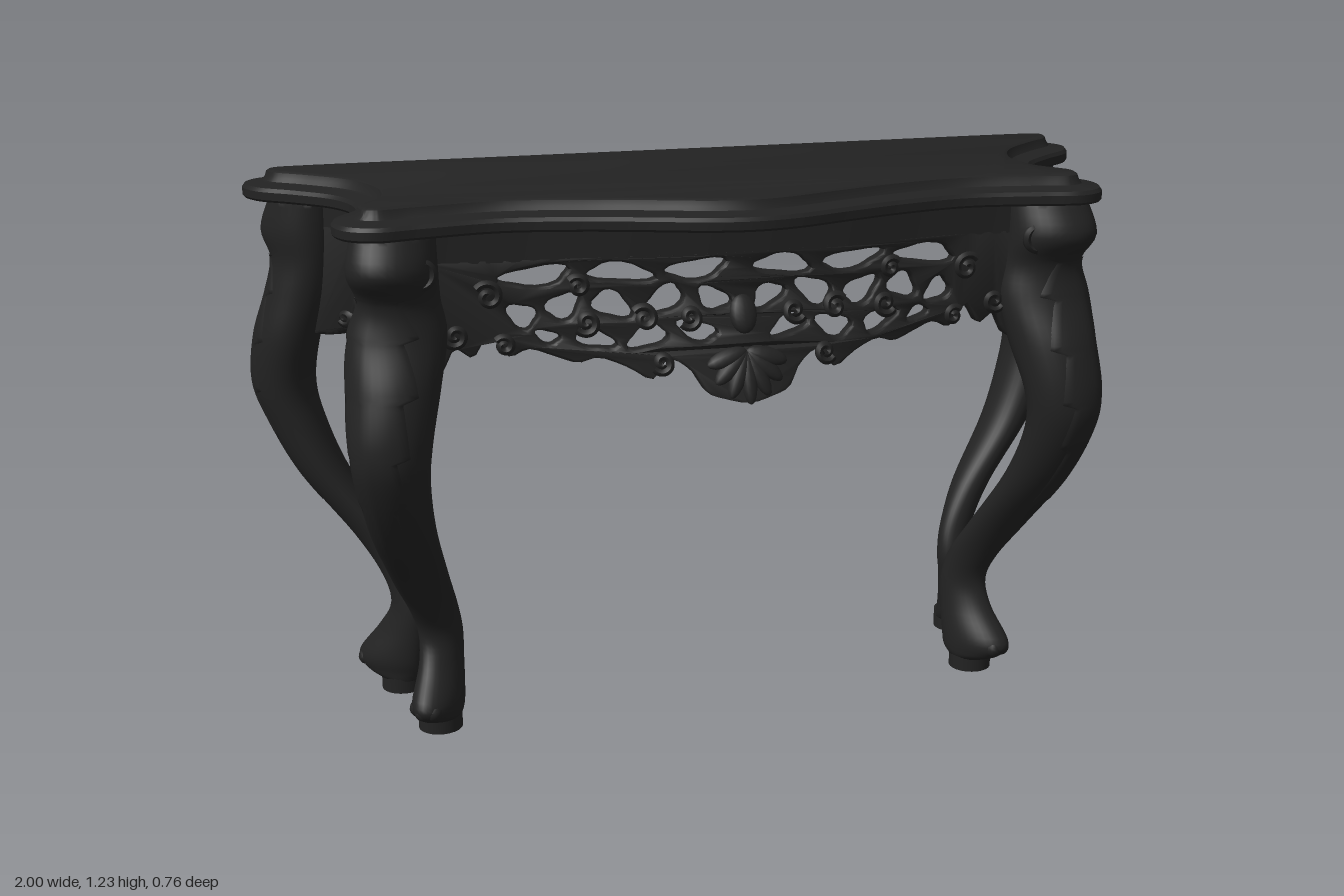
import * as THREE from 'three';
import { toCreasedNormals } from 'three/addons/utils/BufferGeometryUtils.js';

const V2 = (x, y) => new THREE.Vector2(x, y);
const V3 = (x, y, z) => new THREE.Vector3(x, y, z);
const range = (n, f) => Array.from({ length: n }, (_, i) => f(i));

// Skin over rows of points; closed rows are capped at both ends.
function loft(rows, closed = true) {
  const n = rows[0].length, pos = [], idx = [];
  rows.forEach(r => r.forEach(p => pos.push(p.x, p.y, p.z)));
  for (let i = 0; i < rows.length - 1; i++)
    for (let j = 0; j < (closed ? n : n - 1); j++) {
      const a = i * n + j, b = i * n + (j + 1) % n, c = a + n, d = b + n;
      idx.push(a, c, b, b, c, d);
    }
  if (closed) {
    const last = (rows.length - 1) * n;
    const cap = r => THREE.ShapeUtils.triangulateShape(r.map(p => V2(p.x, p.z)), []);
    cap(rows[0]).forEach(([a, b, c]) => idx.push(a, b, c));
    cap(rows[rows.length - 1]).forEach(([a, b, c]) => idx.push(last + a, last + c, last + b));
  }
  const g = new THREE.BufferGeometry();
  g.setAttribute('position', new THREE.Float32BufferAttribute(pos, 3));
  g.setIndex(idx);
  g.computeVertexNormals();
  return g;
}

// Copy of a geometry reflected to the other side.
function mirror(geo) {
  const g = geo.clone().scale(-1, 1, 1);
  const src = g.index ? [...g.index.array] : [...Array(g.attributes.position.count).keys()];
  const idx = [];
  for (let i = 0; i < src.length; i += 3) idx.push(src[i], src[i + 2], src[i + 1]);
  g.setIndex(idx);
  return g;
}

// Leg sections: y, inner x, outer x, inner z, outer z, skew of the oval in degrees
const FRONT_LEG = [
  [0.03, 0.597, 0.695, 0.00, 0.10, 85], [0.05, 0.588, 0.705, -0.008, 0.135, 65],
  [0.085, 0.585, 0.715, -0.012, 0.147, 60], [0.155, 0.582, 0.69, -0.02, 0.088, 65],
  [0.22, 0.582, 0.685, -0.022, 0.062, 75], [0.29, 0.595, 0.705, -0.007, 0.088, 75],
  [0.385, 0.62, 0.745, 0.052, 0.152, 78], [0.53, 0.655, 0.795, 0.142, 0.264, 84],
  [0.66, 0.67, 0.825, 0.197, 0.33, 88], [0.75, 0.662, 0.835, 0.192, 0.343, 90],
  [0.86, 0.635, 0.83, 0.135, 0.32, 90], [0.96, 0.615, 0.82, 0.13, 0.277, 88],
  [1.035, 0.625, 0.80, 0.13, 0.267, 84], [1.10, 0.63, 0.82, 0.13, 0.306, 82],
  [1.175, 0.63, 0.805, 0.13, 0.27, 82]];
const BACK_LEG = [
  [0.03, 0.652, 0.75, -0.14, -0.24, 85], [0.05, 0.65, 0.785, -0.135, -0.262, 65],
  [0.085, 0.65, 0.795, -0.127, -0.268, 60], [0.155, 0.645, 0.75, -0.122, -0.232, 65],
  [0.22, 0.638, 0.722, -0.122, -0.205, 75], [0.29, 0.65, 0.738, -0.137, -0.216, 75],
  [0.385, 0.695, 0.795, -0.158, -0.265, 78], [0.53, 0.79, 0.905, -0.185, -0.33, 84],
  [0.66, 0.84, 0.97, -0.20, -0.366, 86], [0.75, 0.855, 0.997, -0.20, -0.378, 88],
  [0.86, 0.84, 0.987, -0.18, -0.36, 86], [0.96, 0.81, 0.957, -0.172, -0.33, 84],
  [1.035, 0.80, 0.94, -0.168, -0.325, 80], [1.10, 0.79, 0.957, -0.165, -0.35, 76],
  [1.175, 0.79, 0.935, -0.165, -0.326, 78]];

// Returns at(s, t, k): point on the leg at height s, angle t, swollen by k.
function legSurface(st) {
  const A = new THREE.CatmullRomCurve3(st.map(r => V3(r[0], r[1], r[2])), false, 'catmullrom', 0.5);
  const B = new THREE.CatmullRomCurve3(st.map(r => V3(r[3], r[4], r[5])), false, 'catmullrom', 0.5);
  return (s, t, k = 1) => {
    const a = A.getPoint(s), b = B.getPoint(s);
    const skew = THREE.MathUtils.degToRad(b.y > b.x ? b.z : 180 - b.z);
    const hx = (a.z - a.y) / 2 * k, hz = Math.abs(b.y - b.x) / 2 * k;
    return V3((a.y + a.z) / 2 + hx * Math.cos(t), a.x, (b.x + b.y) / 2 + hz * Math.cos(t - skew));
  };
}

function legGeometry(at) {
  return loft(range(71, i => range(32, j => at(i / 70, j / 32 * Math.PI * 2))));
}

// Raised acanthus leaf with a jagged outline on the outer face of the leg
function leafGeometry(at, centre) {
  return loft(range(61, i => {
    const f = i / 60, s = 0.47 + 0.4 * f, saw = 1 - (f * 5) % 1;
    const w = (0.35 + 0.85 * Math.sin(Math.PI * Math.min(1, 0.12 + f * 0.65))) * (0.7 + 0.35 * saw);
    return range(15, j => {
      const u = j / 7 - 1, rib = 0.02 * Math.max(0, 1 - Math.abs(u) * 5);
      return at(s, centre + u * w, Math.abs(u) > 0.95 ? 0.96 : 1.035 + rib);
    });
  }), false);
}

// Half outline of the top, from back centre round to front centre (x, z)
const TOP = [[0, -0.38], [0.45, -0.38], [0.87, -0.38], [0.93, -0.373], [0.972, -0.345], [0.99, -0.30],
  [0.965, -0.232], [0.888, -0.168], [0.81, -0.09], [0.776, 0], [0.782, 0.08], [0.81, 0.12], [0.834, 0.16],
  [0.838, 0.21], [0.815, 0.265], [0.76, 0.293], [0.67, 0.278], [0.51, 0.257], [0.35, 0.285], [0.22, 0.325],
  [0.09, 0.368], [0, 0.38]];

function topGeometry() {
  const pts = [...TOP, ...TOP.slice(1, -1).reverse().map(([x, z]) => [-x, z])];
  const curve = new THREE.CatmullRomCurve3(pts.map(([x, z]) => V3(x, 0, z)), true);
  const ring = (y, inset) => range(240, i => {
    const p = curve.getPoint(i / 240), t = curve.getTangent(i / 240);
    return V3(p.x - t.z * inset, y, p.z + t.x * inset);
  });
  const profile = [[1.17, 0.004], [1.175, 0], [1.192, 0], [1.2, 0.006], [1.203, 0.03], [1.207, 0.045],
    [1.215, 0.051], [1.226, 0.055], [1.23, 0.062]];
  return toCreasedNormals(loft(profile.map(([y, d]) => ring(y, d))), 0.6);
}

const smoothLoop = (pts, n) => new THREE.CatmullRomCurve3(pts.map(([x, y]) => V3(x, y, 0)), true)
  .getPoints(n).slice(0, -1).map(p => V2(p.x, p.y));

// Leaf-like opening
const opening = ([x, y, rx, ry, rot]) => range(20, i => {
  const t = i / 20 * Math.PI * 2, r = 1 + 0.16 * Math.cos(3 * t + x * 20);
  const a = rx * r * Math.cos(t), b = ry * r * Math.sin(t);
  return V2(x + a * Math.cos(rot) - b * Math.sin(rot), y + a * Math.sin(rot) + b * Math.cos(rot));
});
const bothSides = list => [...list, ...list.map(([x, y, a, b, r]) => [-x, y, a, b, -r])];

// Move every vertex by the rule place(u, v, depth)
function bend(g, place) {
  const p = g.attributes.position;
  for (let i = 0; i < p.count; i++) p.setXYZ(i, ...place(p.getX(i), p.getY(i), p.getZ(i)));
  g.computeVertexNormals();
  return g;
}

// Pierced board with a shaped lower edge
function pierced(lower, topY, holes, depth, place) {
  const w = lower[0][0], shape = new THREE.Shape();
  const edge = [...lower, ...lower.slice(0, -1).reverse().map(([x, y]) => [-x, y])];
  const line = new THREE.CatmullRomCurve3(edge.map(([x, y]) => V3(x, y, 0))).getPoints(90);
  const upper = range(41, i => V2(-w + 2 * w * i / 40, topY));
  shape.setFromPoints([...upper, ...line.slice(1, -1).map(p => V2(p.x, p.y))]);
  shape.holes = holes.map(h => new THREE.Path(h));
  const g = new THREE.ExtrudeGeometry(shape, { depth: depth - 0.014, bevelThickness: 0.007,
    bevelSize: 0.006, bevelOffset: -0.006, bevelSegments: 2 }).translate(0, 0, 0.007);
  return toCreasedNormals(bend(g, place), 0.9);
}

// Solid strip above a pierced board
function band(y0, y1, w, depth, place) {
  return bend(new THREE.BoxGeometry(2 * w, y1 - y0, depth, 32, 1, 1)
    .translate(0, (y0 + y1) / 2, depth / 2), place);
}

// Spiral scroll carved in relief
function scroll(x, y, r, turn, depth, place) {
  const pts = range(22, i => {
    const f = i / 21, a = turn * (f * 8 + 0.6), q = r * (1 - 0.82 * f);
    return V3(x + q * Math.cos(a), y + q * Math.sin(a), depth);
  });
  return bend(new THREE.TubeGeometry(new THREE.CatmullRomCurve3(pts), 44, 0.009, 6), place);
}

export function createModel() {
  const model = new THREE.Group();
  const wood = new THREE.MeshStandardMaterial({ color: 0x222222 });
  wood.name = 'black wood';
  const add = (name, geo) => {
    const m = new THREE.Mesh(geo, wood);
    m.name = name;
    model.add(m);
  };
  const pair = (name, geo) => { add(name + 'Left', geo); add(name + 'Right', mirror(geo)); };

  add('tableTop', topGeometry());

  // Cabriole legs with leaves, toes and pads
  [['front', FRONT_LEG, 0.85, 0.646, 0.05, 1], ['back', BACK_LEG, -0.5, 0.701, -0.19, -1]]
    .forEach(([name, st, dir, x, z, sz]) => {
      const at = legSurface(st);
      pair(name + 'Leg', legGeometry(at));
      pair(name + 'LegLeaf', leafGeometry(at, dir));
      pair(name + 'FootPad', new THREE.CylinderGeometry(0.05, 0.05, 0.045, 24).translate(x, 0.0225, z));
      [-0.6, 0, 0.6].forEach(o => {
        const p = at(0.12, sz * 0.55 + o, 0.78);
        pair(name + 'Toe', new THREE.SphereGeometry(0.02, 12, 8).translate(p.x, p.y, p.z));
      });
    });

  // Front apron, bowed forward in the middle and leaning out at the bottom
  const front = (u, v, d) => {
    const bow = (1 + Math.cos(Math.PI * u / 0.66)) / 2;
    return [u, v, 0.17 + 0.055 * bow + 0.35 * bow * Math.max(0, 1.02 - v) + d];
  };
  const frontHoles = bothSides([
    [0.095, 1.072, 0.062, 0.021, -0.1], [0.255, 1.07, 0.068, 0.02, 0.1], [0.43, 1.068, 0.07, 0.021, -0.1],
    [0.06, 1.008, 0.036, 0.022, 0.4], [0.165, 1.01, 0.044, 0.025, -0.5], [0.275, 1.003, 0.042, 0.026, 0.4],
    [0.375, 1.003, 0.036, 0.026, -0.4], [0.46, 0.985, 0.032, 0.024, 0.5],
    [0.10, 0.945, 0.042, 0.019, 0.3], [0.205, 0.935, 0.042, 0.022, -0.3], [0.315, 0.935, 0.042, 0.019, 0.3],
    [0.41, 0.94, 0.025, 0.013, 0.3]]).map(opening);
  add('frontApron', pierced([[0.66, 0.86], [0.63, 0.87], [0.60, 0.92], [0.565, 0.90], [0.53, 0.945],
    [0.49, 0.90], [0.45, 0.915], [0.40, 0.90], [0.35, 0.885], [0.31, 0.895], [0.25, 0.875], [0.20, 0.85],
    [0.165, 0.89], [0.12, 0.865], [0.09, 0.82], [0.05, 0.805], [0, 0.795]], 1.11, frontHoles, 0.035, front));
  add('frontApronBand', band(1.1, 1.175, 0.66, 0.035, front));
  [[0.21, 0.975, 0.026, 1], [0.33, 0.97, 0.026, -1], [0.115, 0.975, 0.024, -1], [0.345, 1.045, 0.022, 1],
    [0.53, 1.03, 0.03, 1], [0.18, 0.885, 0.022, -1], [0.50, 0.925, 0.02, 1], [0.60, 0.95, 0.024, -1]]
    .forEach(([x, y, r, turn]) => pair('apronScroll', scroll(x, y, r, turn, 0.034, front)));

  // Shell drop and rosette at the middle of the front apron
  range(7, i => {
    const a = (i - 3) * 0.42, len = 0.055 - 0.003 * Math.abs(i - 3);
    add('shellRib', bend(new THREE.SphereGeometry(1, 12, 8).scale(0.018, len, 0.015).translate(0, -len, 0)
      .rotateZ(a).translate(0, 0.903, 0.036), front));
  });
  add('rosette', bend(new THREE.SphereGeometry(1, 16, 10).scale(0.03, 0.04, 0.018)
    .translate(0, 0.975, 0.034), front));

  // Knee scrolls on the front legs
  pair('kneeScroll', scroll(0.672, 1.10, 0.034, -1, 0, (u, v, d) => [u, v, 0.262 + d]));

  // Side aprons, curved inward
  const side = (u, v, d) => [0.685 + 2.2 * (-u - 0.07) ** 2 + d, v, -u - 0.02];
  const heart = [[0, 1.06], [0.03, 1.078], [0.05, 1.104], [0.075, 1.104], [0.086, 1.07], [0.08, 1.03],
    [0.04, 1.03], [0, 1.015], [-0.04, 1.03], [-0.08, 1.03], [-0.086, 1.07], [-0.075, 1.104],
    [-0.05, 1.104], [-0.03, 1.078]];
  const sideHoles = [smoothLoop(heart, 56),
    ...bothSides([[0.058, 0.975, 0.03, 0.017, 0.4], [0.035, 0.92, 0.022, 0.014, -0.5],
      [0.082, 0.93, 0.012, 0.012, 0]]).map(opening), opening([0, 0.965, 0.016, 0.012, 0])];
  pair('sideApron', pierced([[0.19, 0.87], [0.15, 0.875], [0.12, 0.89], [0.095, 0.895], [0.06, 0.88],
    [0.03, 0.862], [0, 0.86]], 1.125, sideHoles, 0.035, side));
  pair('sideApronBand', band(1.118, 1.175, 0.19, 0.035, side));
  [[0.06, 1.005, 0.018, 1], [-0.06, 1.005, 0.018, -1], [0.11, 0.92, 0.016, -1], [-0.11, 0.92, 0.016, 1]]
    .forEach(([u, v, r, turn]) => pair('sideScroll', scroll(u, v, r, turn, 0.034, side)));

  // Plain rail at the back
  add('backRail', new THREE.BoxGeometry(1.66, 0.065, 0.03).translate(0, 1.14, -0.30));
  return model;
}
